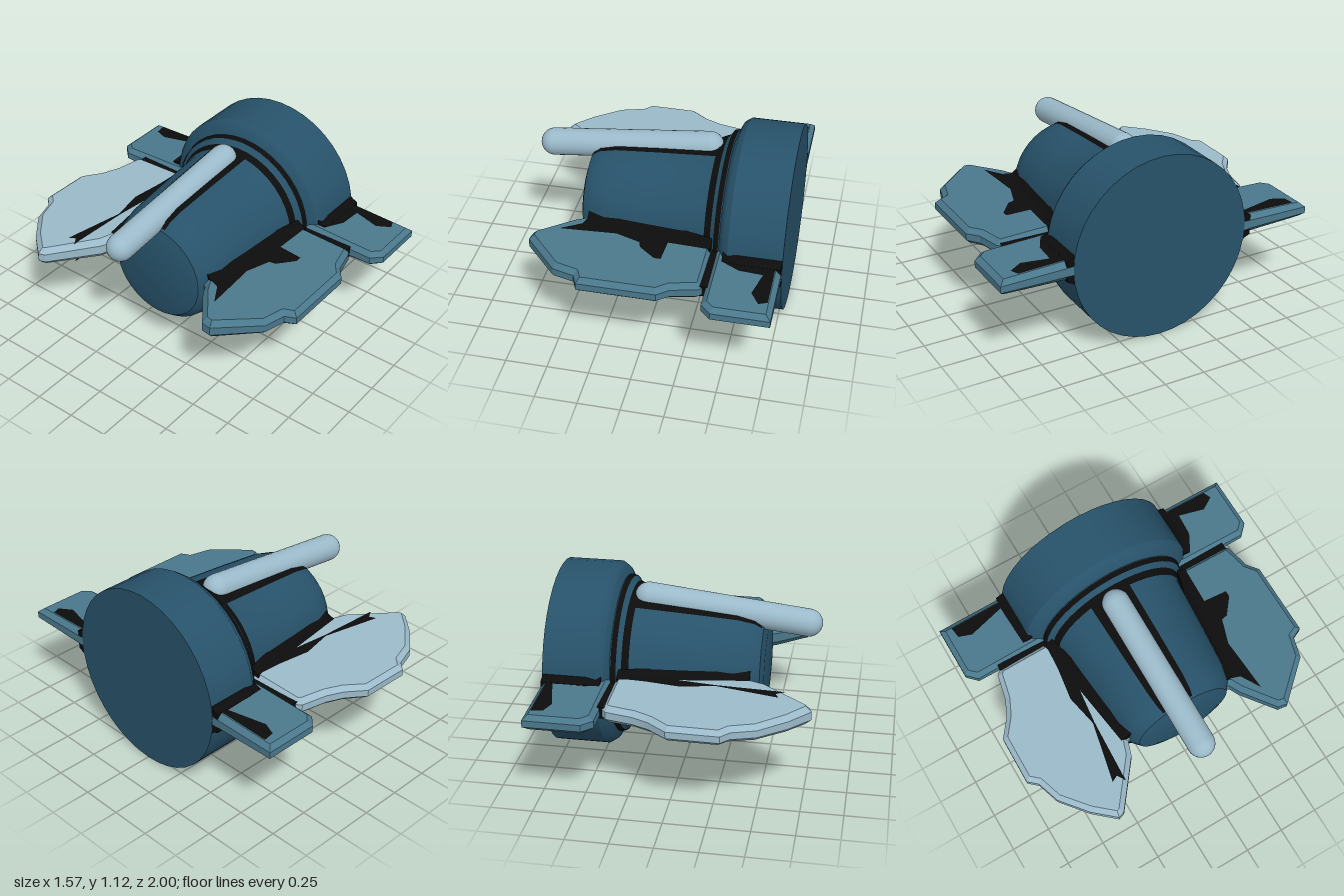
import * as THREE from 'three';
import { toCreasedNormals } from 'three/addons/utils/BufferGeometryUtils.js';

const CY = 0.5645; // height of the main axis, which runs along x

// Body outline as [x, radius]
const PROFILE = [
  [-0.47, 0], [-0.47, 0.235], [-0.45, 0.305], [-0.4, 0.346], [-0.3, 0.372], [-0.05, 0.395],
  [0.3, 0.422], [0.345, 0.442], [0.372, 0.475], [0.405, 0.483], [0.43, 0.537], [0.467, 0.562],
  [0.785, 0.562], [0.785, 0],
];

// Body radius at x
function radiusAt(x) {
  for (let i = 2; i < PROFILE.length - 1; i++) {
    const [x0, r0] = PROFILE[i - 1], [x1, r1] = PROFILE[i];
    if (x <= x1) return r0 + ((r1 - r0) * (x - x0)) / (x1 - x0);
  }
  return 0.562;
}

// Half thickness of a fin, tapering outwards
const halfThickness = (z) => 0.045 + (1 - Math.abs(z)) * 0.033;

function outline(points) {
  return new THREE.Shape(points.map(([x, z]) => new THREE.Vector2(x, z)));
}

function lathe(points, segments = 40, start = 0, length = Math.PI * 2) {
  const geo = new THREE.LatheGeometry(points.map(([x, r]) => new THREE.Vector2(r, x)), segments, start, length);
  return geo.rotateZ(-Math.PI / 2);
}

// Thin skin over the body between x0 and x1, angles measured from straight up
function skin(x0, x1, from = 0, to = Math.PI * 2) {
  const xs = [x0, ...PROFILE.map((p) => p[0]).filter((x) => x > x0 && x < x1), x1];
  const segments = Math.max(4, Math.round(((to - from) / (Math.PI * 2)) * 40));
  return lathe(xs.map((x) => [x, radiusAt(x) + 0.004]), segments, Math.PI * 1.5 + from, to - from);
}

// Bevelled plate, tapered towards its outer edge
function finGeometry(points) {
  const geo = new THREE.ExtrudeGeometry(outline(points), {
    depth: 0.04, bevelThickness: 0.025, bevelSize: 0.03, bevelOffset: -0.03, bevelSegments: 1,
  });
  geo.translate(0, 0, -0.02).rotateX(Math.PI / 2);
  const p = geo.attributes.position;
  for (let i = 0; i < p.count; i++) p.setY(i, (p.getY(i) / 0.045) * halfThickness(p.getZ(i)));
  geo.computeVertexNormals();
  return toCreasedNormals(geo, 0.3);
}

// Flat patch lying on the upper (1) or lower (-1) fin face
function patchGeometry(points, side) {
  const geo = new THREE.ShapeGeometry(outline(points)).rotateX(Math.PI / 2);
  const p = geo.attributes.position;
  for (let i = 0; i < p.count; i++) p.setY(i, side * (halfThickness(p.getZ(i)) + 0.003));
  geo.computeVertexNormals();
  return geo;
}

// Fillet where a fin meets the body, following the body radius
function filletGeometry(x0, x1, side) {
  const half = [[-0.018, 0.1], [0.006, 0.078], [0.04, 0.062]];
  const section = [...half, ...half.map(([z, y]) => [z, -y]).reverse()];
  const geo = new THREE.ExtrudeGeometry(outline(section), { depth: x1 - x0, steps: 4, bevelEnabled: false });
  geo.rotateY(Math.PI / 2).translate(x0, 0, 0);
  const p = geo.attributes.position;
  for (let i = 0; i < p.count; i++) {
    const x = p.getX(i);
    p.setZ(i, -p.getZ(i) + radiusAt(x));
    if (side < 0) p.setZ(i, -p.getZ(i));
  }
  geo.computeVertexNormals();
  return geo;
}

export function createModel() {
  const mat = (name, color, side = THREE.FrontSide) => {
    const m = new THREE.MeshStandardMaterial({ color, side });
    m.name = name;
    return m;
  };
  const deep = mat('deepTeal', 0x27526a);
  const mid = mat('midTeal', 0x4a788c);
  const pale = mat('paleBlue', 0x9bbaca);
  const ink = mat('inkBlack', 0x0c0c0c, THREE.DoubleSide);

  const model = new THREE.Group();
  model.name = 'model';
  const axis = new THREE.Group();
  axis.name = 'finnedBody';
  axis.position.y = CY;
  model.add(axis);
  const add = (name, geo, material) => {
    const mesh = new THREE.Mesh(geo, material);
    mesh.name = name;
    axis.add(mesh);
    return mesh;
  };

  // Tapered body with its wide collar
  add('body', toCreasedNormals(lathe(PROFILE), 0.55), deep);

  // Dark bands at the neck and beside the rod
  add('neckBand', skin(0.305, 0.345), ink);
  add('collarGroove', skin(0.37, 0.4), ink);
  add('rodSeat', skin(-0.44, 0.33, -0.45, 0.18), ink);

  // Sloping rod along the top
  const a = new THREE.Vector3(-0.707, 0.868 - CY, -0.048);
  const b = new THREE.Vector3(0.25, 0.974 - CY, -0.048);
  const rod = add('topRod', new THREE.CapsuleGeometry(0.083, a.distanceTo(b), 8, 24), pale);
  rod.position.addVectors(a, b).multiplyScalar(0.5);
  rod.quaternion.setFromUnitVectors(new THREE.Vector3(0, 1, 0), b.clone().sub(a).normalize());

  // Large side fins
  add('leftSideFin', finGeometry([
    [-0.38, 0.25], [-0.43, 0.34], [-0.49, 0.37], [-0.69, 0.52], [-0.7, 0.58], [-0.49, 0.81], [-0.36, 0.845],
    [-0.33, 0.91], [0.13, 0.91], [0.2, 0.855], [0.35, 0.82], [0.37, 0.8], [0.37, 0.25],
  ]), mid);
  add('rightSideFin', finGeometry([
    [-0.36, -0.25], [-0.41, -0.36], [-0.5, -0.39], [-0.77, -0.6], [-0.785, -0.64], [-0.67, -0.77],
    [-0.51, -0.9], [-0.37, -0.945], [-0.32, -1], [-0.02, -0.995], [0.09, -0.91], [0.19, -0.865],
    [0.35, -0.83], [0.375, -0.8], [0.375, -0.25],
  ]), pale);

  // Dark patches on the fins
  const patches = {
    leftFinPatch: [[-0.4, 0.36], [-0.42, 0.42], [-0.54, 0.49], [-0.2, 0.47], [-0.05, 0.52], [-0.04, 0.56],
      [0.06, 0.64], [0.1, 0.64], [0.11, 0.49], [0.35, 0.5], [0.35, 0.42]],
    rightFinPatch: [[-0.59, -0.57], [-0.57, -0.53], [-0.62, -0.5], [-0.22, -0.48], [0, -0.455], [-0.4, -0.4],
      [-0.4, -0.36], [0.36, -0.43], [0.36, -0.49], [0.19, -0.5], [-0.02, -0.53], [-0.22, -0.49]],
    leftCollarPatch: [[0.44, 0.56], [0.44, 0.59], [0.55, 0.65], [0.69, 0.66], [0.65, 0.82], [0.7, 0.9],
      [0.75, 0.88], [0.75, 0.56]],
    rightCollarPatch: [[0.44, -0.56], [0.44, -0.6], [0.71, -0.61], [0.65, -0.84], [0.68, -0.92], [0.75, -0.93],
      [0.75, -0.56]],
  };
  for (const [name, points] of Object.entries(patches)) {
    add(name + 'Top', patchGeometry(points, 1), ink);
    add(name + 'Bottom', patchGeometry(points, -1), ink);
  }

  // Mirrored collar fins, the joint to the large fins, and root fillets
  for (const [label, s] of [['left', 1], ['right', -1]]) {
    add(label + 'CollarFin', finGeometry([
      [0.39, s * 0.4], [0.39, s * 0.94], [0.45, s], [0.784, s], [0.784, s * 0.4],
    ]), mid);
    add(label + 'FinJoint', new THREE.BoxGeometry(0.07, 0.07, 0.36).translate(0.38, 0, s * 0.62), ink);
    add(label + 'BodyFillet', filletGeometry(-0.4, 0.36, s), ink);
    add(label + 'CollarFillet', filletGeometry(0.44, 0.783, s), ink);
  }
  return model;
}
